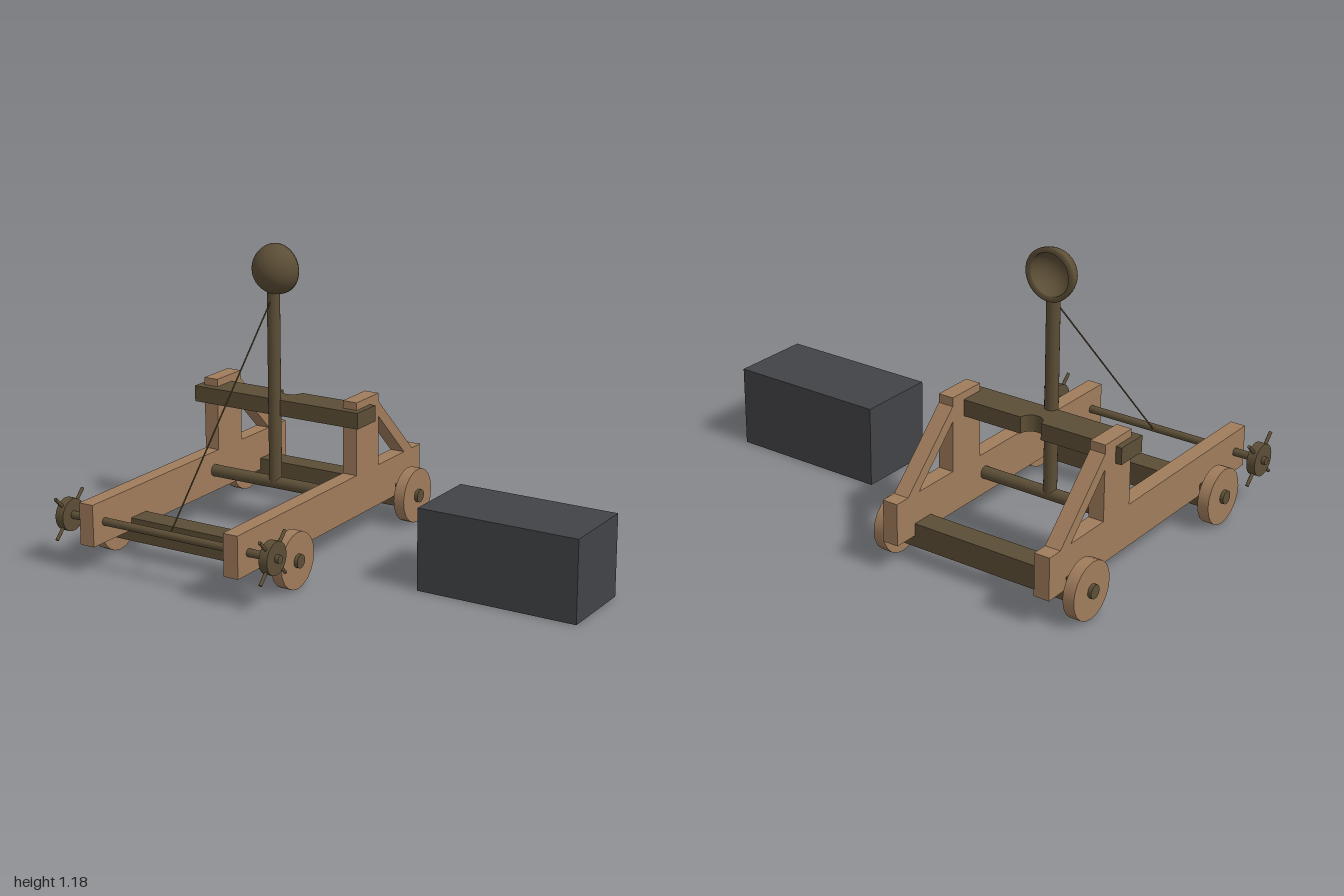
import * as THREE from 'three';

const CX = -0.495; // centre line of the catapult
const lightWood = new THREE.MeshStandardMaterial({ color: 0xa07c5c });
const darkWood = new THREE.MeshStandardMaterial({ color: 0x5c4e36 });
const darkWoodOpen = new THREE.MeshStandardMaterial({ color: 0x5c4e36, side: THREE.DoubleSide });
const stone = new THREE.MeshStandardMaterial({ color: 0x424347 });

export function createModel() {
  const group = new THREE.Group();

  function add(name, geometry, material, x = 0, y = 0, z = 0) {
    const mesh = new THREE.Mesh(geometry, material);
    mesh.name = name;
    mesh.position.set(x, y, z);
    group.add(mesh);
    return mesh;
  }
  const box = (name, w, h, d, material, x, y, z) =>
    add(name, new THREE.BoxGeometry(w, h, d), material, x, y, z);
  // Cylinder lying along x
  const rodX = (name, r, length, material, x, y, z, sides = 20) =>
    add(name, new THREE.CylinderGeometry(r, r, length, sides).rotateZ(Math.PI / 2), material, x, y, z);
  // Cylinder between two points
  function rod(name, r, a, b, sides) {
    const mesh = add(name, new THREE.CylinderGeometry(r, r, a.distanceTo(b), sides), darkWood);
    mesh.position.copy(a).lerp(b, 0.5);
    mesh.quaternion.setFromUnitVectors(new THREE.Vector3(0, 1, 0), b.clone().sub(a).normalize());
  }

  // Side frame profile (z, y): rail, upright and diagonal brace with a triangular opening
  const profile = new THREE.Shape([
    [0.658, 0.113], [0.658, 0.282], [-0.174, 0.282], [-0.174, 0.582], [-0.342, 0.582],
    [-0.342, 0.547], [-0.611, 0.282], [-0.676, 0.282], [-0.676, 0.113],
  ].map(([z, y]) => new THREE.Vector2(z, y)));
  profile.holes.push(new THREE.Path(
    [[-0.342, 0.282], [-0.342, 0.485], [-0.546, 0.282]].map(([z, y]) => new THREE.Vector2(z, y))));
  const frame = new THREE.ExtrudeGeometry(profile, { depth: 0.064, bevelEnabled: false });
  frame.translate(0, 0, -0.032).rotateY(-Math.PI / 2);

  for (const [side, s] of [['left', 1], ['right', -1]]) {
    add(side + 'SideFrame', frame, lightWood, CX + s * 0.333, 0, 0);

    // Winch wheel with crossed handles
    const wx = CX + s * 0.471;
    rodX(side + 'WinchWheel', 0.065, 0.036, darkWood, wx, 0.197, 0.587, 32);
    for (const angle of [Math.PI / 4, -Math.PI / 4]) {
      const handle = new THREE.CylinderGeometry(0.007, 0.007, 0.235, 10).rotateX(angle);
      add(side + 'WinchHandle', handle, darkWood, wx, 0.197, 0.587);
    }
  }

  // Axle beams, axles and wheels
  for (const [end, z] of [['front', 0.375], ['rear', -0.525]]) {
    box(end + 'AxleBeam', 0.754, 0.095, 0.095, darkWood, CX, 0.115, z);
    rodX(end + 'Axle', 0.027, 0.914, darkWood, CX, 0.113, z);
    for (const s of [1, -1]) {
      rodX(end + 'Wheel', 0.113, 0.047, lightWood, CX + s * 0.419, 0.113, z, 20);
    }
  }

  // Stop beam with a half-round notch for the arm
  const beam = new THREE.Shape();
  beam.moveTo(-0.39, -0.067);
  beam.lineTo(-0.045, -0.067);
  beam.absarc(0, -0.067, 0.045, Math.PI, 0, true);
  beam.lineTo(0.39, -0.067);
  beam.lineTo(0.39, 0.067);
  beam.lineTo(-0.39, 0.067);
  const beamGeometry = new THREE.ExtrudeGeometry(beam, { depth: 0.066, bevelEnabled: false });
  beamGeometry.translate(0, 0, -0.033).rotateX(-Math.PI / 2).rotateY(Math.PI);
  add('stopBeam', beamGeometry, darkWood, CX, 0.518, -0.208);

  // Throwing arm and its pivot
  rodX('armPivot', 0.025, 0.62, darkWood, CX, 0.202, -0.143);
  rod('throwingArm', 0.026, new THREE.Vector3(CX, 0.2, -0.143), new THREE.Vector3(CX, 0.988, -0.143), 20);

  // Hollow bowl, opening towards the back
  const bowl = [];
  for (let i = 0; i <= 16; i++) {
    const a = (i / 16) * Math.PI / 2;
    bowl.push(new THREE.Vector2(0.102 * Math.sin(a), -0.102 * Math.cos(a)));
  }
  for (let i = 16; i >= 0; i--) {
    const a = (i / 16) * Math.PI / 2;
    bowl.push(new THREE.Vector2(0.083 * Math.sin(a), -0.083 * Math.cos(a)));
  }
  add('bowl', new THREE.LatheGeometry(bowl, 36).rotateX(-Math.PI / 2), darkWoodOpen, CX, 1.079, -0.174);

  // Winch axle and rope
  rodX('winchAxle', 0.016, 1.01, darkWood, CX, 0.197, 0.587);
  rod('rope', 0.003, new THREE.Vector3(CX, 0.965, -0.13), new THREE.Vector3(CX, 0.192, 0.58), 8);

  // Separate block beside the catapult
  box('stoneBlock', 0.662, 0.328, 0.332, stone, 0.669, 0.164, -0.008);

  return group;
}
